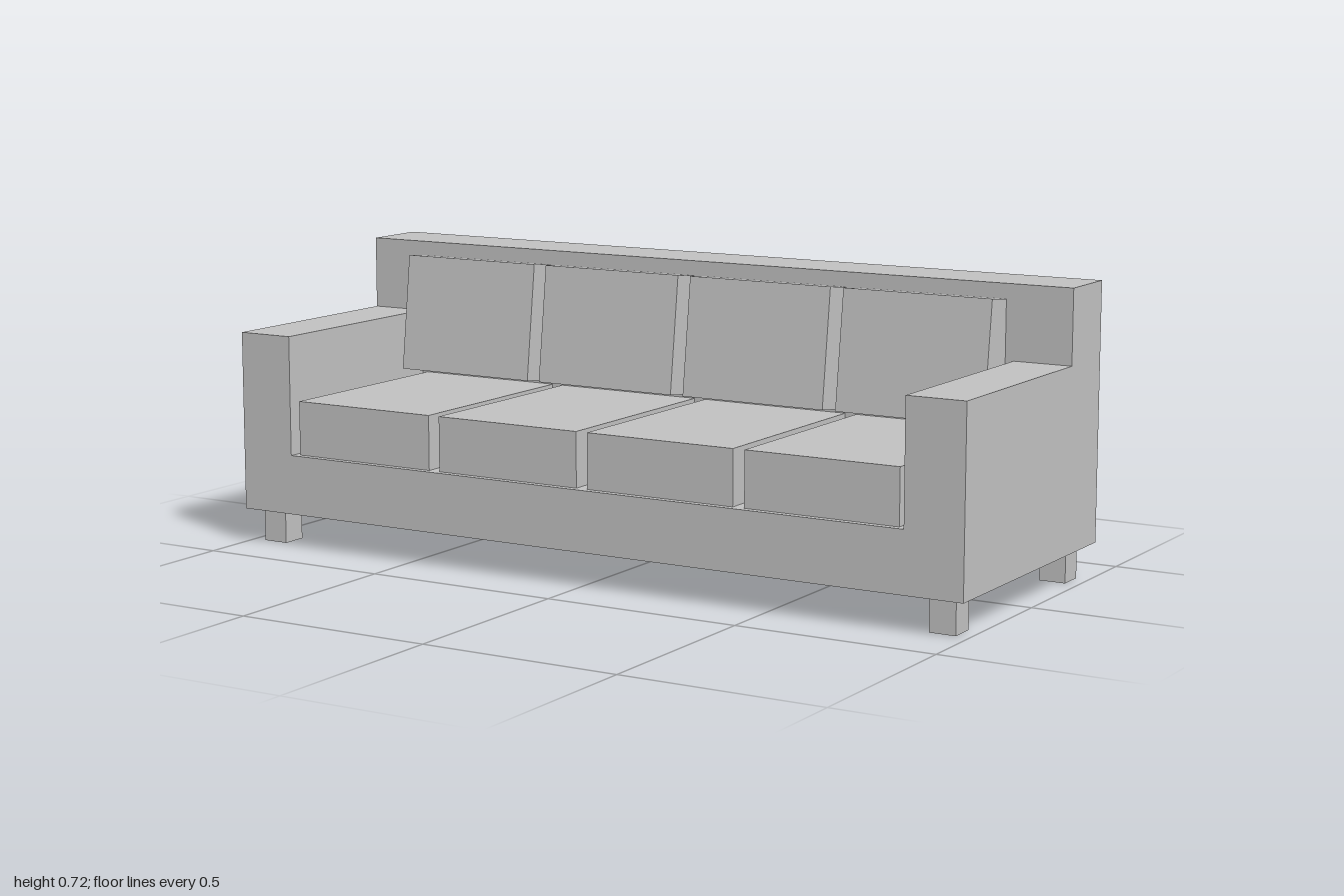
import * as THREE from 'three';

export function createModel() {
  const group = new THREE.Group();
  const fabric = new THREE.MeshStandardMaterial({ color: 0xc0c0c0 });
  fabric.name = 'light grey';

  const add = (name, geometry, x = 0, y = 0, z = 0) => {
    const mesh = new THREE.Mesh(geometry, fabric);
    mesh.name = name;
    mesh.position.set(x, y, z);
    group.add(mesh);
    return mesh;
  };

  const bottom = 0.085, deck = 0.235, armTop = 0.535, backTop = 0.718;
  const half = 0.367, backFront = -0.2, armInner = 0.852;

  // Base and both arms as one U-shaped extrusion
  const profile = new THREE.Shape([
    [-1, bottom], [1, bottom], [1, armTop], [armInner, armTop],
    [armInner, deck], [-armInner, deck], [-armInner, armTop], [-1, armTop],
  ].map(([x, y]) => new THREE.Vector2(x, y)));
  add('baseAndArms', new THREE.ExtrudeGeometry(profile, {
    depth: half - backFront, bevelEnabled: false,
  }), 0, 0, backFront);

  // Full-width backrest
  add('backrest', new THREE.BoxGeometry(2, backTop - bottom, half + backFront),
    0, (backTop + bottom) / 2, (backFront - half) / 2);

  // Four seat cushions, each with a back cushion leaning against the backrest
  const seat = new THREE.BoxGeometry(0.395, 0.136, 0.55);
  const pillow = new THREE.BoxGeometry(0.39, 0.297, 0.15);
  pillow.translate(0, -0.1485, -0.075); // pivot on the top front edge
  for (let i = 0; i < 4; i++) {
    const x = (i - 1.5) * 0.425 - 0.002;
    add('seatCushion', seat, x, deck + 0.068, 0.075);
    add('backCushion', pillow, x, 0.69, -0.122).rotation.x = -0.122;
  }

  // Square corner legs
  const leg = new THREE.BoxGeometry(0.066, bottom, 0.066);
  for (const sx of [-1, 1])
    for (const sz of [-1, 1])
      add('leg', leg, sx * 0.934, bottom / 2, sz * 0.3);

  return group;
}
